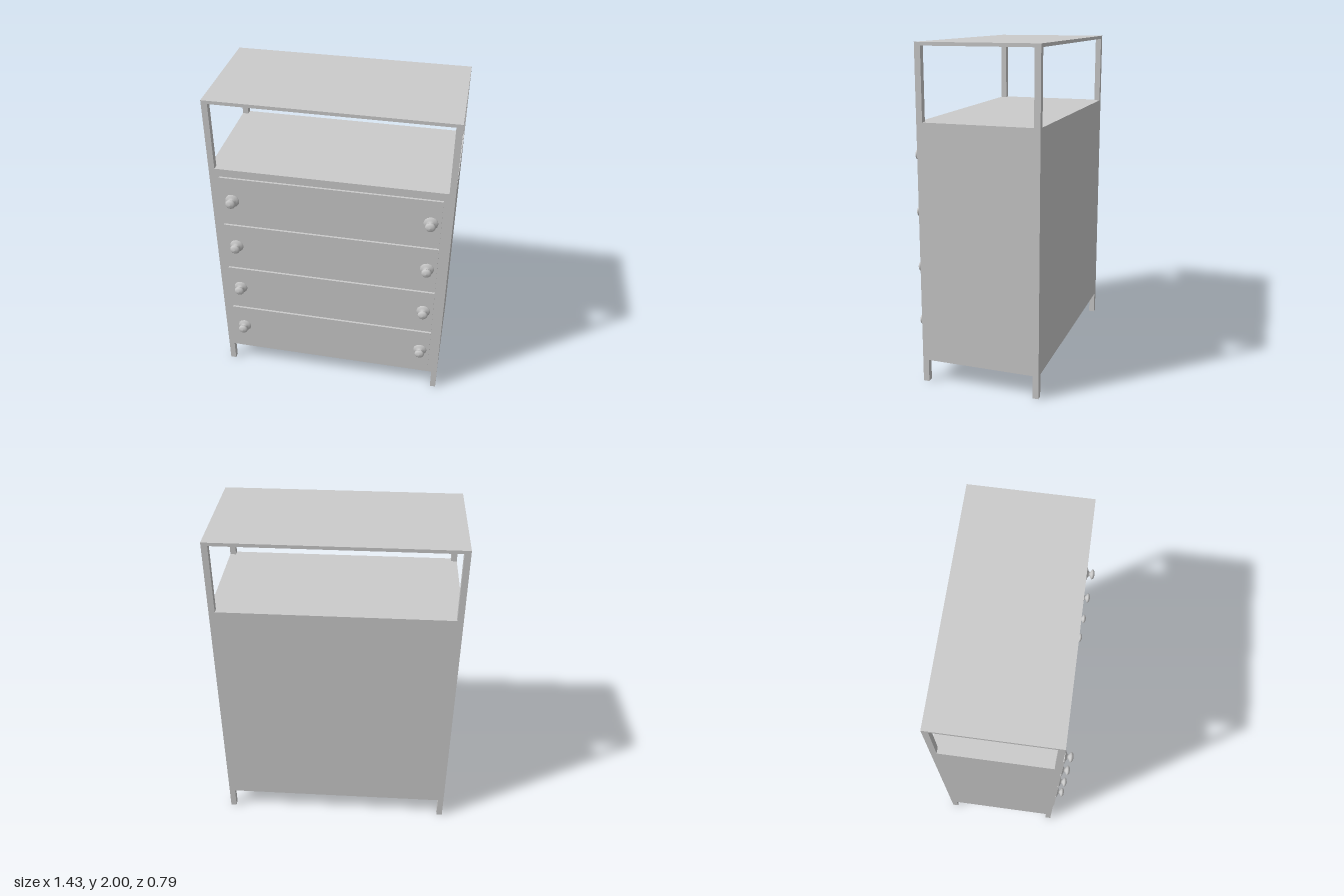
import * as THREE from 'three';

export function createModel() {
  const group = new THREE.Group();
  group.name = 'chestOfDrawers';
  const material = new THREE.MeshStandardMaterial({ color: 0xcccccc });

  // Box given by its limits on each axis
  function box(name, [x0, x1], [y0, y1], [z0, z1]) {
    const mesh = new THREE.Mesh(new THREE.BoxGeometry(x1 - x0, y1 - y0, z1 - z0), material);
    mesh.position.set((x0 + x1) / 2, (y0 + y1) / 2, (z0 + z1) / 2);
    mesh.name = name;
    group.add(mesh);
  }

  const W = 0.717, BACK = -0.394, FRONT = 0.327, POST = 0.036;
  const BOTTOM = 0.138, SHELF = 1.562, TOP = 1.98, FACE = 0.34;

  // Cabinet and top board
  box('cabinet', [-W, W], [BOTTOM, SHELF], [BACK, FRONT]);
  box('topBoard', [-W, W], [TOP, 2], [BACK, FRONT]);

  // Corner posts: short legs below, uprights around the open shelf
  for (const x of [[-W, -W + POST], [W - POST, W]]) {
    for (const z of [[BACK, BACK + POST], [FRONT - POST, FRONT]]) {
      box('leg', x, [0, BOTTOM], z);
      box('upright', x, [SHELF, TOP], z);
    }
  }

  // Turned knob: flared base, thin neck, rounded head
  const profile = [
    [0.043, 0], [0.042, 0.004], [0.03, 0.009], [0.018, 0.014], [0.013, 0.021],
    [0.016, 0.027], [0.027, 0.032], [0.031, 0.038], [0.028, 0.045], [0.018, 0.051], [0, 0.054],
  ].map(([r, h]) => new THREE.Vector2(r, h));
  const knobGeometry = new THREE.LatheGeometry(profile, 12);
  knobGeometry.rotateX(Math.PI / 2);

  // Four drawers with two knobs each
  const drawers = [[0.18, 0.498], [0.514, 0.833], [0.858, 1.172], [1.198, 1.512]];
  drawers.forEach(([y0, y1], i) => {
    box('drawerFront', [-0.657, 0.654], [y0, y1], [FRONT, FACE]);
    for (const x of [-0.586, 0.594]) {
      const knob = new THREE.Mesh(knobGeometry, material);
      knob.name = 'knob';
      knob.position.set(x, 0.342 + i * 0.3385, FACE);
      group.add(knob);
    }
  });

  return group;
}
